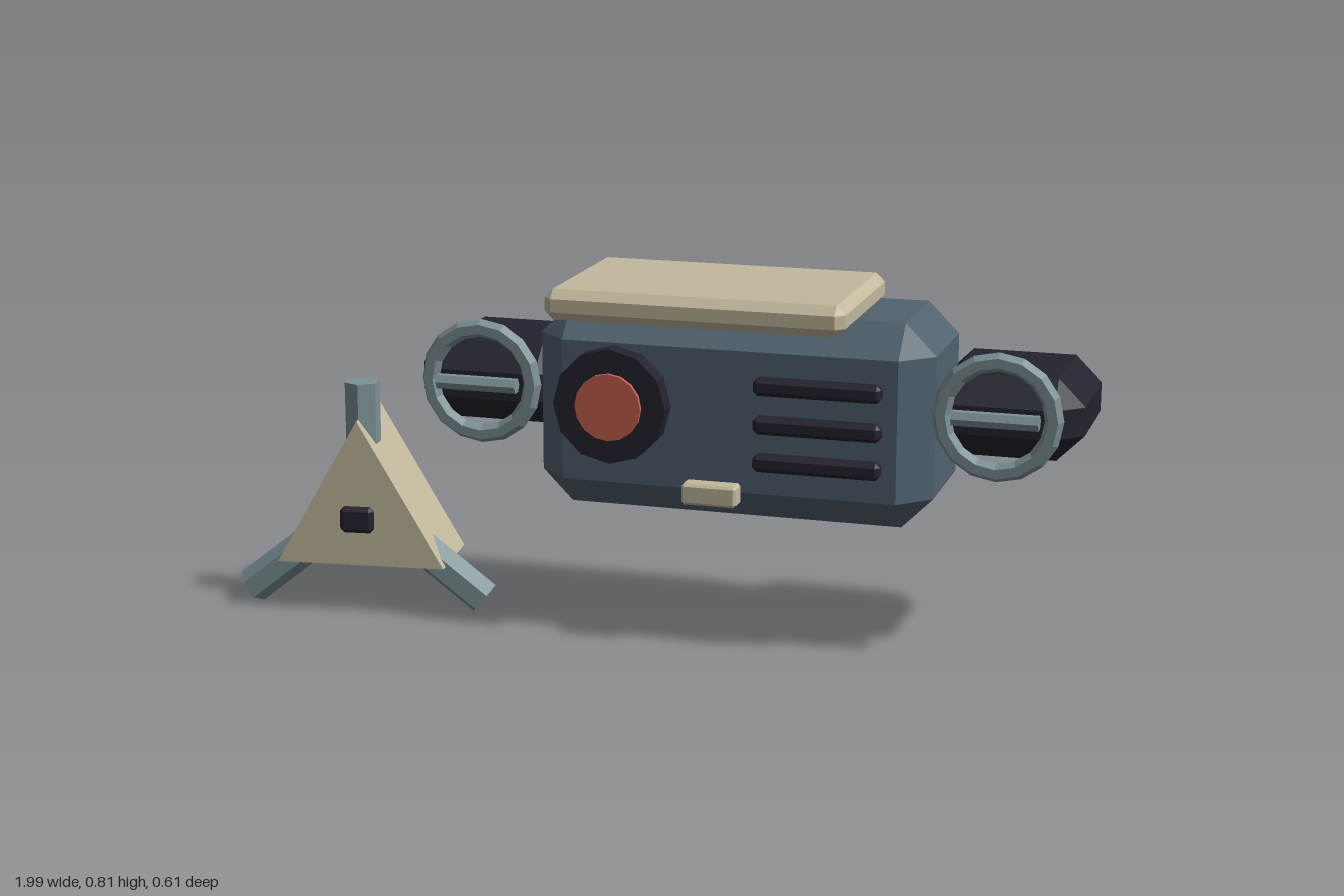
import * as THREE from 'three';
import { ConvexGeometry } from 'three/addons/geometries/ConvexGeometry.js';

const material = (name, color) => {
  const m = new THREE.MeshStandardMaterial({ color, flatShading: true });
  m.name = name;
  return m;
};

// Box with flat chamfers on every edge; h = half sizes, c = chamfer
function chamferBox(hx, hy, hz, c) {
  const points = [];
  for (const x of [-1, 1]) for (const y of [-1, 1]) for (const z of [-1, 1]) {
    points.push(
      new THREE.Vector3(x * hx, y * (hy - c), z * (hz - c)),
      new THREE.Vector3(x * (hx - c), y * hy, z * (hz - c)),
      new THREE.Vector3(x * (hx - c), y * (hy - c), z * hz));
  }
  return new ConvexGeometry(points);
}

function add(parent, name, geometry, mat, x, y, z) {
  const mesh = new THREE.Mesh(geometry, mat);
  mesh.name = name;
  mesh.position.set(x, y, z);
  parent.add(mesh);
  return mesh;
}

export function createModel() {
  const slate = material('slate blue', 0x50626f);
  const tan = material('tan', 0xc2b99d);
  const dark = material('near black', 0x24232e);
  const teal = material('grey teal', 0x7c9194);
  const red = material('brick red', 0xc8624e);

  const model = new THREE.Group();
  model.name = 'model';

  // Main unit, turned slightly about the vertical
  const unit = new THREE.Group();
  unit.name = 'mainUnit';
  unit.position.set(0.21, 0, 0.0275);
  unit.rotation.y = -0.125;
  model.add(unit);

  add(unit, 'body', chamferBox(0.452, 0.23, 0.196, 0.07), slate, 0, 0.53, 0);
  add(unit, 'topPlate', chamferBox(0.341, 0.035, 0.214, 0.02), tan, -0.069, 0.776, 0.034);
  add(unit, 'badge', chamferBox(0.063, 0.024, 0.024, 0.006), tan, -0.03, 0.367, 0.214);

  // Round lamp on the front
  const rim = new THREE.CylinderGeometry(0.13, 0.13, 0.07, 12).rotateX(Math.PI / 2);
  const lens = new THREE.CylinderGeometry(0.076, 0.076, 0.03, 16).rotateX(Math.PI / 2);
  add(unit, 'lampRim', rim, dark, -0.258, 0.555, 0.207);
  add(unit, 'lampLens', lens, red, -0.258, 0.555, 0.237);

  // Vent slats
  for (const y of [0.445, 0.53, 0.617]) {
    add(unit, 'ventSlat', chamferBox(0.143, 0.02, 0.018, 0.01), dark, 0.207, y, 0.205);
  }

  // Side pods, each with a ring and crossbar in front
  for (const side of [-1, 1]) {
    const x = side * 0.592;
    add(unit, 'sidePod', chamferBox(0.176, 0.092, 0.183, 0.06), dark, x, 0.552, -0.065);
    add(unit, 'ring', new THREE.TorusGeometry(0.123, 0.021, 6, 16), teal, x, 0.57, 0.147);
    const bar = new THREE.CylinderGeometry(0.018, 0.018, 0.19, 6).rotateZ(Math.PI / 2);
    add(unit, 'ringBar', bar, teal, x, 0.57, 0.175);
  }

  // Separate three-sided wedge
  const wedge = new THREE.Group();
  wedge.name = 'wedge';
  wedge.position.set(-0.69, 0.235, 0);
  model.add(wedge);

  const r = 0.23, half = r * Math.sqrt(3) / 2;
  const triangle = new THREE.Shape([
    new THREE.Vector2(-half, -r / 2),
    new THREE.Vector2(half, -r / 2),
    new THREE.Vector2(0, r)]);
  const prism = new THREE.ExtrudeGeometry(triangle, { depth: 0.204, bevelEnabled: false });
  add(wedge, 'wedgeBody', prism, tan, 0, 0, -0.09);
  add(wedge, 'wedgeButton', chamferBox(0.04, 0.031, 0.012, 0.01), dark, 0, 0, 0.13);

  // Hexagonal pegs: one up, two splayed down
  add(wedge, 'topPeg', new THREE.CylinderGeometry(0.0415, 0.0415, 0.19, 6), teal, 0, 0.217, 0.055);
  for (const side of [-1, 1]) {
    const peg = new THREE.CylinderGeometry(0.0425, 0.0425, 0.24, 6)
      .rotateY(Math.PI / 6)
      .translate(0, 0.12, 0)
      .rotateZ(side * 0.9);
    add(wedge, 'lowerPeg', peg, teal, side * 0.282, -0.198, 0.055);
  }
  return model;
}
